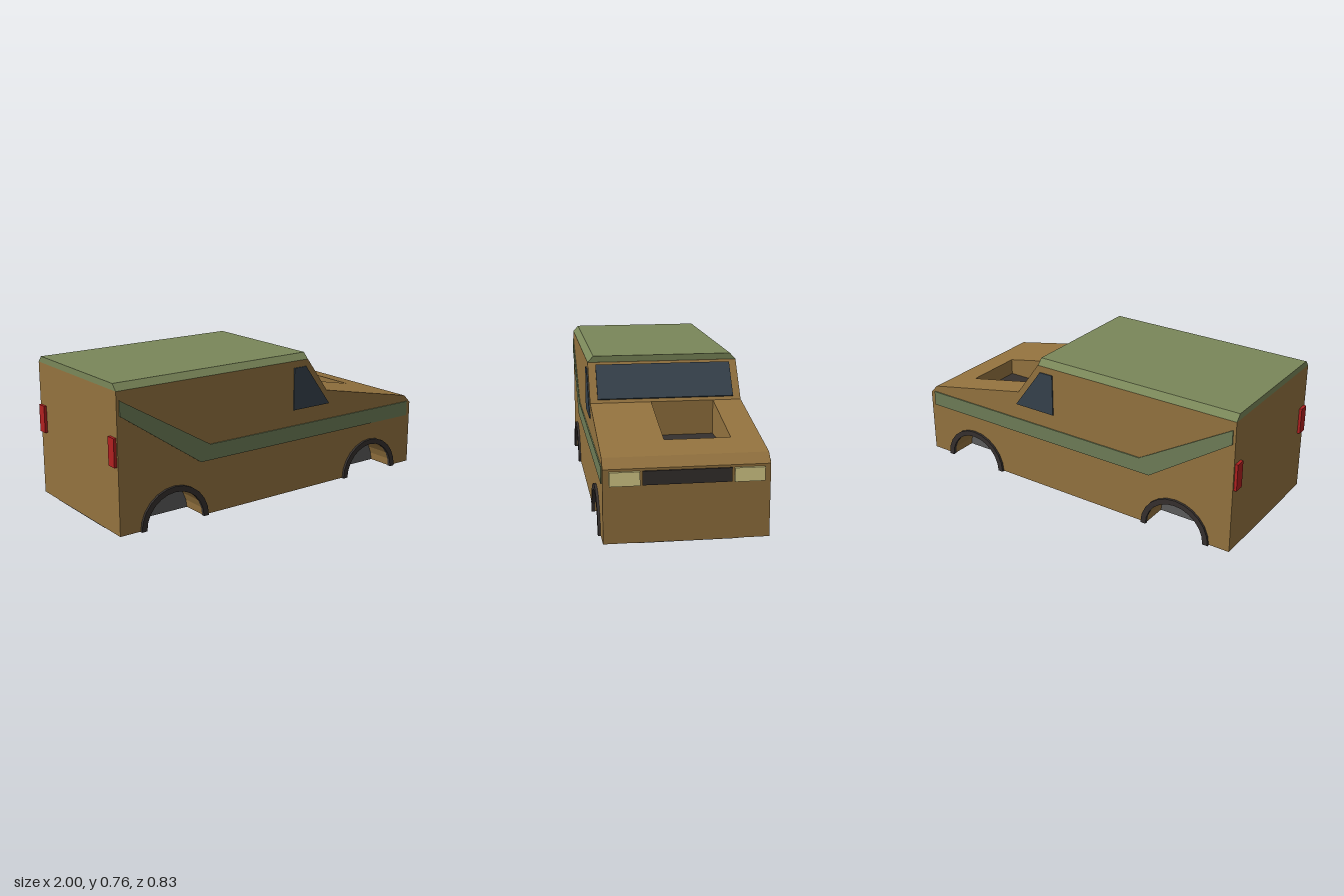
import * as THREE from 'three';

const paint = (color) => new THREE.MeshStandardMaterial({ color, flatShading: true });
const BROWN = paint(0x94733f), GREEN = paint(0x7a8759), STRIPE = paint(0x6e7d57), GLASS = paint(0x36424c),
  DARK = paint(0x35302e), GREY = paint(0x5c5c5c), LAMP = paint(0xdcd08c), RED = paint(0xb02020);

const AXLES = [-0.67, 0.663], ARCH_R = 0.2, WELL_R = 0.172, SEGS = 12, BASE = 0.002;
const WELL_Z = 0.25, HALF_W = 0.4, END = 0.985;

// Half-circle points over an axle, running from rear (-x) to front (+x)
function arc(cx, r, y0 = 0) {
  const pts = [];
  for (let i = 0; i <= SEGS; i++) {
    const a = Math.PI * (1 - i / SEGS);
    pts.push([cx + r * Math.cos(a), Math.max(y0, r * Math.sin(a) * 0.985)]);
  }
  return pts;
}

// Side outline [x, y] extruded between two z values
function slab(name, pts, z0, z1, mat) {
  const shape = new THREE.Shape(pts.map(([x, y]) => new THREE.Vector2(x, y)));
  const geo = new THREE.ExtrudeGeometry(shape, { depth: z1 - z0, bevelEnabled: false });
  geo.translate(0, 0, z0);
  const mesh = new THREE.Mesh(geo, mat);
  mesh.name = name;
  return mesh;
}

// Box given by its min and max on each axis
function block(name, [x0, x1], [y0, y1], [z0, z1], mat) {
  const mesh = new THREE.Mesh(new THREE.BoxGeometry(x1 - x0, y1 - y0, z1 - z0), mat);
  mesh.position.set((x0 + x1) / 2, (y0 + y1) / 2, (z0 + z1) / 2);
  mesh.name = name;
  return mesh;
}

// Body outline with optional wheel wells and hood recess
function bodyOutline({ wells = false, recess = false }) {
  const hoodY = (x) => 0.535 - (x - 0.33) * (0.125 / 0.61);
  return [
    [-END, BASE],
    ...(wells ? AXLES.flatMap((x) => arc(x, WELL_R, BASE)) : []),
    [END, BASE], [END, 0.365], [0.94, 0.41],
    ...(recess ? [[0.775, hoodY(0.775)], [0.775, 0.35], [0.33, 0.35]] : []),
    [0.33, 0.535], [0.19, 0.727], [-END, 0.727],
  ];
}

export function createModel() {
  const van = new THREE.Group();
  van.name = 'van';

  // Body, in lengthwise slices so the wells and hood recess are real openings
  const body = new THREE.Group();
  body.name = 'body';
  body.add(
    slab('leftFlank', bodyOutline({ wells: true }), WELL_Z, HALF_W, BROWN),
    slab('core', bodyOutline({}), 0.08, WELL_Z, BROWN),
    slab('recessedCore', bodyOutline({ recess: true }), -WELL_Z, 0.08, BROWN),
    slab('rightFlank', bodyOutline({ wells: true }), -HALF_W, -WELL_Z, BROWN),
  );
  van.add(body);
  van.add(block('recessFloor', [0.33, 0.775], [0.35, 0.353], [-WELL_Z, 0.08], DARK));
  van.add(block('underside', [-END, END], [0, 0.004], [-WELL_Z, WELL_Z], DARK));

  // Roof with bevelled long edges
  const section = new THREE.Shape([[-0.4, 0.727], [0.4, 0.727], [0.37, 0.76], [-0.37, 0.76]]
    .map(([z, y]) => new THREE.Vector2(z, y)));
  const roofGeo = new THREE.ExtrudeGeometry(section, { depth: END + 0.188, bevelEnabled: false });
  roofGeo.rotateY(Math.PI / 2).translate(-END, 0, 0);
  const roof = new THREE.Mesh(roofGeo, GREEN);
  roof.name = 'roof';
  van.add(roof);

  // Windshield lying on the sloped front of the cab
  van.add(slab('windshield',
    [[0.319, 0.55], [0.327, 0.556], [0.209, 0.718], [0.201, 0.712]], -0.36, 0.36, GLASS));

  // Parts repeated on both sides
  const both = (name, pts, z0, z1, mat) => van.add(
    slab('left' + name, pts, z0, z1, mat), slab('right' + name, pts, -z1, -z0, mat));
  both('Window', [[0.095, 0.46], [0.345, 0.46], [0.175, 0.69], [0.095, 0.69]], HALF_W, 0.406, GLASS);
  both('Stripe', [[-0.97, 0.605], [-0.51, 0.29], [0.957, 0.29], [0.957, 0.373], [-0.45, 0.373], [-0.97, 0.682]],
    HALF_W, 0.406, STRIPE);
  AXLES.forEach((x, i) => {
    const end = i ? 'Front' : 'Rear';
    both(end + 'ArchTrim', [...arc(x, ARCH_R), ...arc(x, WELL_R - 0.002).reverse()], HALF_W - 0.005, 0.413, DARK);
    both(end + 'WellCap', arc(x, WELL_R, BASE), WELL_Z - 0.002, WELL_Z + 0.003, GREY);
  });

  // Grille and lamps
  van.add(block('grille', [END - 0.005, 0.993], [0.285, 0.353], [-0.213, 0.213], DARK));
  for (const [side, s] of [['left', 1], ['right', -1]]) {
    const span = (a, b) => [Math.min(s * a, s * b), Math.max(s * a, s * b)];
    van.add(block(side + 'Headlight', [END - 0.005, 1], [0.285, 0.353], span(0.225, 0.37), LAMP));
    van.add(block(side + 'TailLight', [-1, -END + 0.005], [0.352, 0.498], span(0.335, 0.39), RED));
  }
  return van;
}
